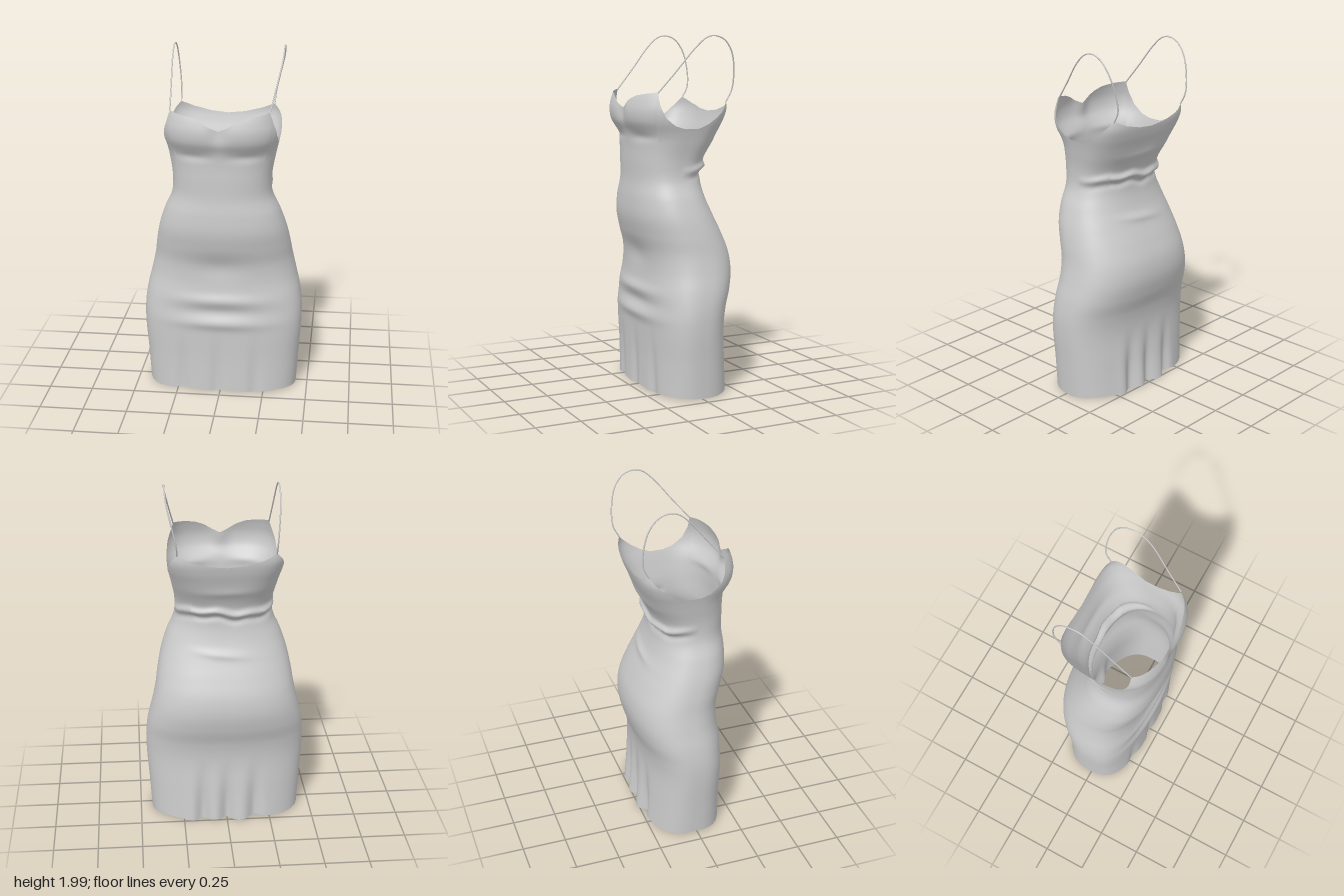
import * as THREE from 'three';

// Body sections: height, half width, front z, back z, front squareness, back squareness
const SECTIONS = [
  [0.00, 0.432, 0.205, -0.258, 2.9, 2.4],
  [0.20, 0.445, 0.203, -0.243, 2.9, 2.4],
  [0.40, 0.458, 0.207, -0.234, 2.9, 2.4],
  [0.50, 0.457, 0.207, -0.248, 2.8, 2.4],
  [0.60, 0.444, 0.203, -0.280, 2.7, 2.4],
  [0.70, 0.420, 0.198, -0.298, 2.6, 2.4],
  [0.80, 0.398, 0.208, -0.288, 2.5, 2.4],
  [0.90, 0.382, 0.238, -0.250, 2.4, 2.4],
  [1.00, 0.360, 0.260, -0.203, 2.4, 2.4],
  [1.10, 0.326, 0.260, -0.160, 2.4, 2.4],
  [1.20, 0.283, 0.250, -0.140, 2.4, 2.4],
  [1.30, 0.278, 0.250, -0.152, 2.5, 2.5],
  [1.42, 0.298, 0.252, -0.205, 2.6, 3.0],
  [1.47, 0.309, 0.262, -0.222, 2.7, 3.4],
  [1.53, 0.324, 0.293, -0.243, 2.8, 4.0],
  [1.59, 0.329, 0.300, -0.256, 2.9, 4.6],
  [1.65, 0.314, 0.285, -0.252, 3.2, 5.0],
  [1.70, 0.298, 0.262, -0.245, 3.6, 5.0],
];

// Neckline height against the angle in degrees from the front centre
const RIM = [
  [0, 1.60], [10, 1.622], [20, 1.652], [30, 1.672], [44, 1.684], [56, 1.692],
  [60, 1.62], [66, 1.555], [75, 1.51], [85, 1.492], [100, 1.492], [110, 1.515],
  [118, 1.55], [126, 1.60], [132, 1.638], [144, 1.605], [160, 1.58], [180, 1.57],
];

const makeTable = (rows, Type) => new Type(
  rows.map((r) => r[0]), rows.flatMap((r) => r.slice(1)), rows[0].length - 1);
const sections = makeTable(SECTIONS, THREE.CubicInterpolant);
const rim = makeTable(RIM, THREE.LinearInterpolant);
const bell = (v, centre, width) => Math.exp(-(((v - centre) / width) ** 2));

// Point on the cloth at an angle (0 = front, towards +x) and height
function clothPoint(angle, y) {
  const [w, zf, zb, nf, nb] = sections.evaluate(y);
  const s = Math.sin(angle), c = Math.cos(angle);
  const front = c > 0, n = front ? nf : nb;
  const depth = (zf - zb) / 2, mid = (zf + zb) / 2;
  const r = (Math.abs(s / w) ** n + Math.abs(c / depth) ** n) ** (-1 / n);
  const x = r * s;
  let z = mid + r * c;
  let out = 0;
  const hem = THREE.MathUtils.smoothstep(0.42 - y, 0, 0.42);
  if (front) {
    // cleavage, crease under the bust, belly folds and hem ripples
    z -= 0.02 * bell(x, 0, 0.05) * bell(y, 1.59, 0.07);
    z -= 0.010 * bell(Math.abs(x), 0.15, 0.1) * bell(y, 1.445, 0.025);
    const across = bell(x, 0, 0.24);
    z += across * (0.016 * bell(y, 0.58, 0.035) + 0.016 * bell(y, 0.44, 0.035) - 0.008 * bell(y, 0.51, 0.03));
    z -= 0.012 * bell(x, 0, 0.14) * bell(y, 0.78, 0.07);
    for (const fx of [-0.22, -0.02, 0.2]) z -= 0.016 * hem * bell(x, fx, 0.035);
  } else {
    // gathered waist roll, small crease beneath it and skirt folds
    const roll = 1.268 + 0.012 * Math.sin(x * 14) + 0.006 * Math.sin(x * 37);
    const reach = Math.min(1, -c * 1.6);
    out += reach * (0.024 * bell(y, roll, 0.02) - 0.01 * bell(y, roll - 0.04, 0.018));
    z -= 0.010 * bell(x, 0.02, 0.13) * bell(y, 1.03 + 0.1 * x, 0.02);
    z -= 0.006 * bell(x, 0, 0.15) * bell(y, 1.40, 0.025);
    for (const fx of [-0.16, 0.0, 0.14]) {
      z += 0.034 * hem * bell(x, fx, 0.035);
      z -= 0.008 * hem * bell(x, fx + 0.07, 0.035);
    }
  }
  return new THREE.Vector3(x + out * s, y, z + out * c);
}

function createCloth() {
  const cols = 180, rows = 170, pos = [], index = [];
  for (let j = 0; j <= rows; j++) {
    for (let i = 0; i < cols; i++) {
      const a = (i / cols) * Math.PI * 2;
      const deg = Math.min(i, cols - i) * (360 / cols);
      const top = rim.evaluate(deg)[0];
      const bottom = 0.012 + 0.005 * Math.sin(a * 7);
      pos.push(...clothPoint(a, THREE.MathUtils.lerp(bottom, top, j / rows)).toArray());
    }
  }
  for (let j = 0; j < rows; j++) {
    for (let i = 0; i < cols; i++) {
      const a = j * cols + i, b = j * cols + (i + 1) % cols;
      index.push(a, b, b + cols, a, b + cols, a + cols);
    }
  }
  const g = new THREE.BufferGeometry();
  g.setAttribute('position', new THREE.Float32BufferAttribute(pos, 3));
  g.setIndex(index);
  g.computeVertexNormals();
  return g;
}

// Thin strap looping from the cup corner over to the back corner
function createStrap(side, topX) {
  const rad = THREE.MathUtils.degToRad;
  const start = clothPoint(side * rad(56), 1.688);
  const end = clothPoint(side * rad(132), 1.634);
  const loop = [[0.10, 1.80], [-0.01, 1.935], [-0.07, 1.985], [-0.12, 1.996],
    [-0.18, 1.975], [-0.23, 1.91], [-0.258, 1.80], [-0.257, 1.70]];
  const points = loop.map(([z, y]) => {
    const base = THREE.MathUtils.lerp(start.x, end.x, (start.z - z) / (start.z - end.z));
    const lift = THREE.MathUtils.smoothstep(y, 1.63, 2);
    return new THREE.Vector3(THREE.MathUtils.lerp(base, side * topX, lift), y, z);
  });
  const path = new THREE.CatmullRomCurve3([start, ...points, end]);
  return new THREE.TubeGeometry(path, 64, 0.004, 6);
}

export function createModel() {
  const group = new THREE.Group();
  group.name = 'slipDress';
  const material = new THREE.MeshStandardMaterial({ color: 0xcccccc, side: THREE.DoubleSide });
  const add = (name, geometry) => {
    const mesh = new THREE.Mesh(geometry, material);
    mesh.name = name;
    group.add(mesh);
  };
  add('dressBody', createCloth());
  add('leftStrap', createStrap(1, 0.33));
  add('rightStrap', createStrap(-1, 0.285));
  return group;
}
